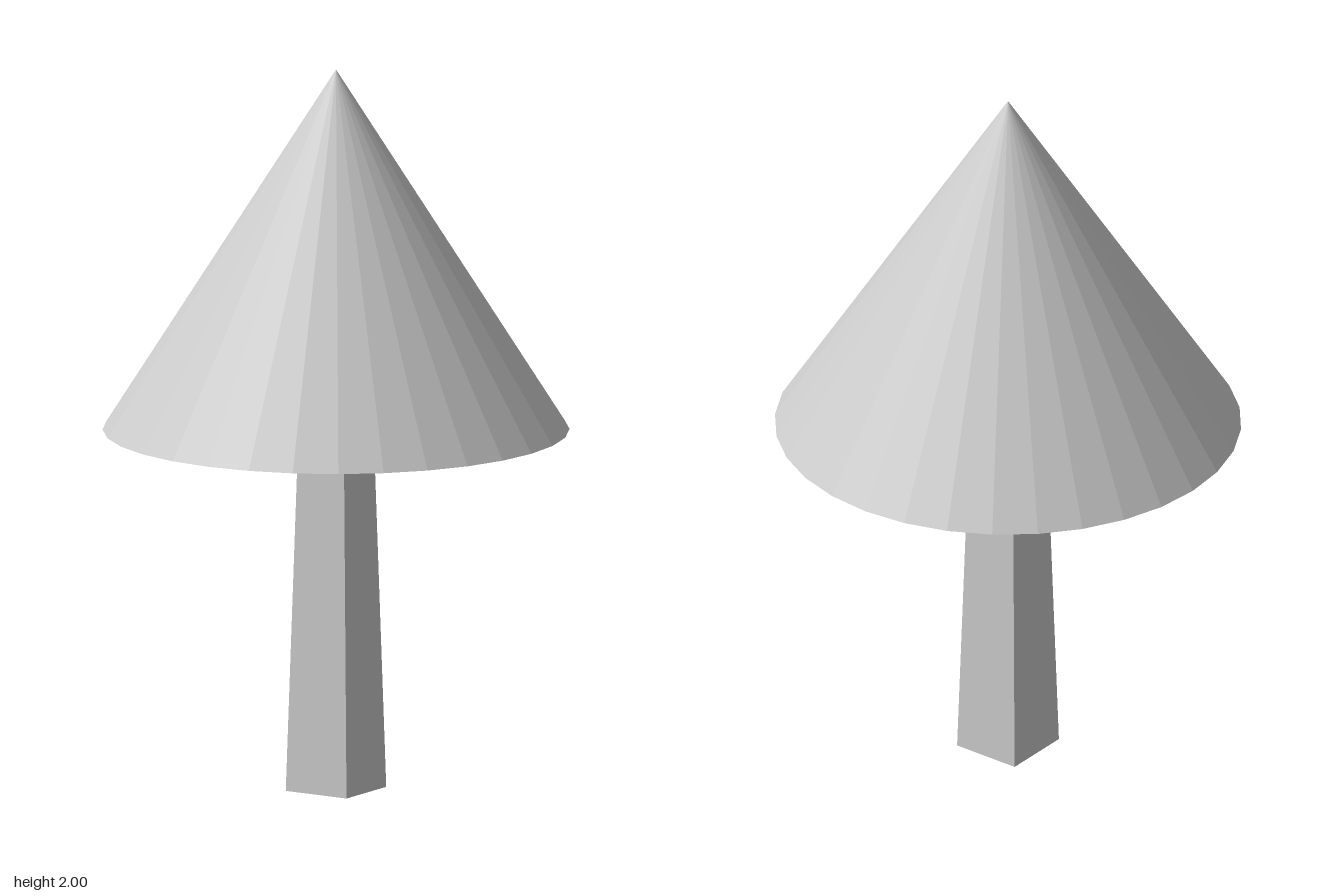
import * as THREE from 'three';

const material = new THREE.MeshStandardMaterial({ color: 0xcccccc, flatShading: true });

function addPart(group, name, geometry, y) {
  const mesh = new THREE.Mesh(geometry, material);
  mesh.name = name;
  mesh.position.y = y;
  group.add(mesh);
}

export function createModel() {
  const tree = new THREE.Group();
  tree.name = 'tree';

  // Square trunk, tapering upwards: four-sided cylinder turned to face the axes
  const trunkHeight = 1;
  const trunk = new THREE.CylinderGeometry(0.074 * Math.SQRT2, 0.099 * Math.SQRT2, trunkHeight, 4);
  trunk.rotateY(Math.PI / 4);
  addPart(tree, 'trunk', trunk, trunkHeight / 2);

  // Faceted conical crown with a closed underside
  const crownHeight = 1;
  const crown = new THREE.ConeGeometry(0.637, crownHeight, 32);
  addPart(tree, 'crown', crown, trunkHeight + crownHeight / 2);

  return tree;
}
